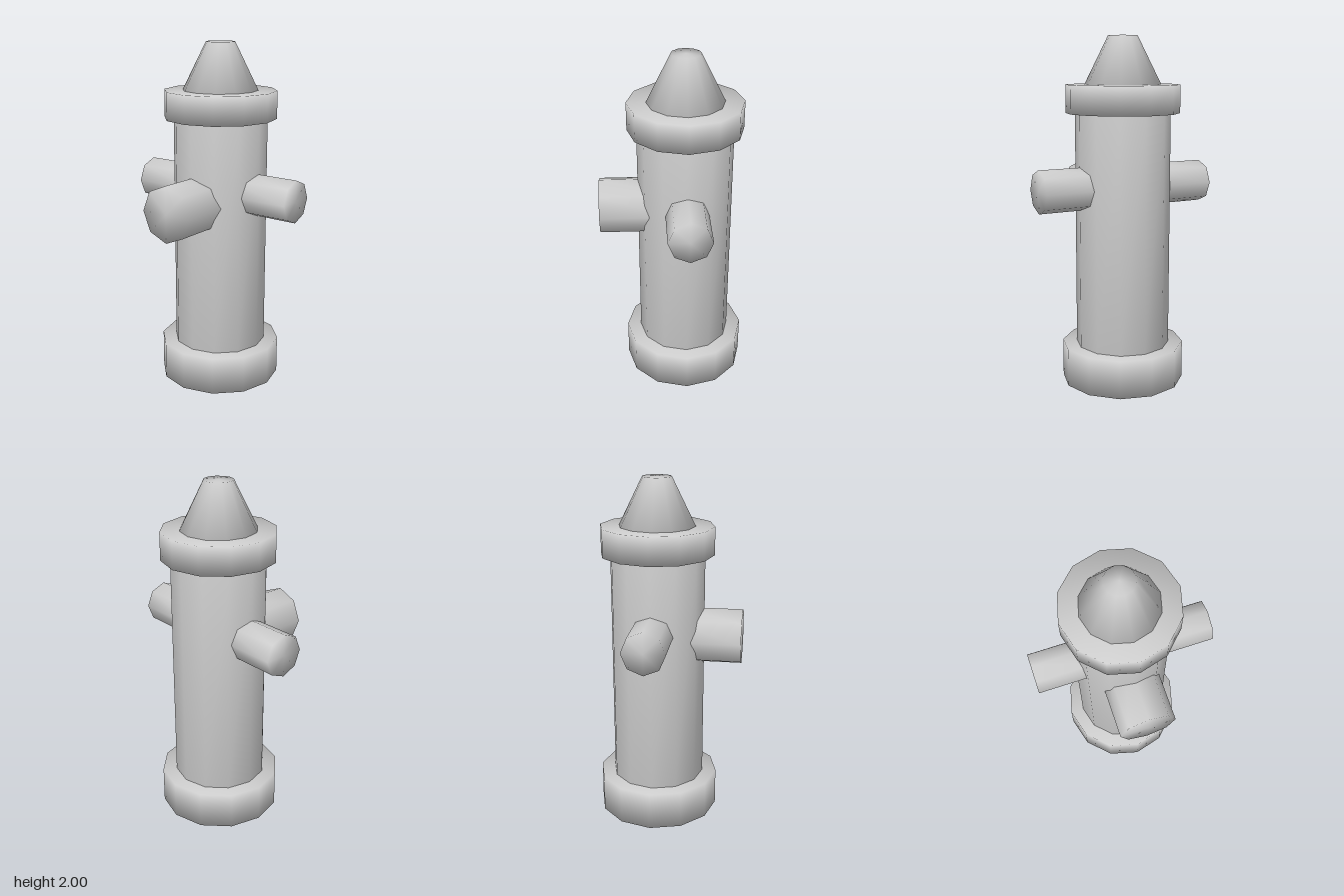
import * as THREE from 'three';
import { mergeVertices } from 'three/addons/utils/BufferGeometryUtils.js';

const AXIS_Z = -0.07;

export function createModel() {
  const model = new THREE.Group();
  const material = new THREE.MeshStandardMaterial({ color: 0xcccccc });

  // Closed low-poly cylinder whose normals are shared across sides and caps
  function smoothCylinder(rTop, rBottom, height, sides) {
    const geo = new THREE.CylinderGeometry(rTop, rBottom, height, sides);
    geo.deleteAttribute('normal');
    geo.deleteAttribute('uv');
    const merged = mergeVertices(geo, 1e-4);
    merged.computeVertexNormals();
    return merged;
  }

  function add(name, geo, x, y, z) {
    const mesh = new THREE.Mesh(geo, material);
    mesh.name = name;
    mesh.position.set(x, y, z);
    model.add(mesh);
    return mesh;
  }

  // Upright twelve-sided sections: name, top radius, bottom radius, bottom y, top y
  const sections = [
    ['baseFlange', 0.355, 0.355, 0, 0.22],
    ['barrel', 0.272, 0.272, 0.22, 1.57],
    ['capFlange', 0.325, 0.325, 1.57, 1.73],
    ['bonnet', 0.083, 0.217, 1.73, 2],
  ];
  for (const [name, rTop, rBottom, y0, y1] of sections) {
    add(name, smoothCylinder(rTop, rBottom, y1 - y0, 12), 0, (y0 + y1) / 2, AXIS_Z);
  }

  // Eight-sided side outlets, mirrored left and right
  for (const side of [1, -1]) {
    const outlet = add(side > 0 ? 'leftOutlet' : 'rightOutlet',
      smoothCylinder(0.122, 0.122, 0.4, 8), side * 0.32, 1.152, AXIS_Z);
    outlet.rotation.z = -side * Math.PI / 2;
  }

  // Larger front outlet
  const front = add('frontOutlet', smoothCylinder(0.163, 0.163, 0.42, 8), 0, 1.098, 0.212);
  front.rotation.x = Math.PI / 2;

  return model;
}
